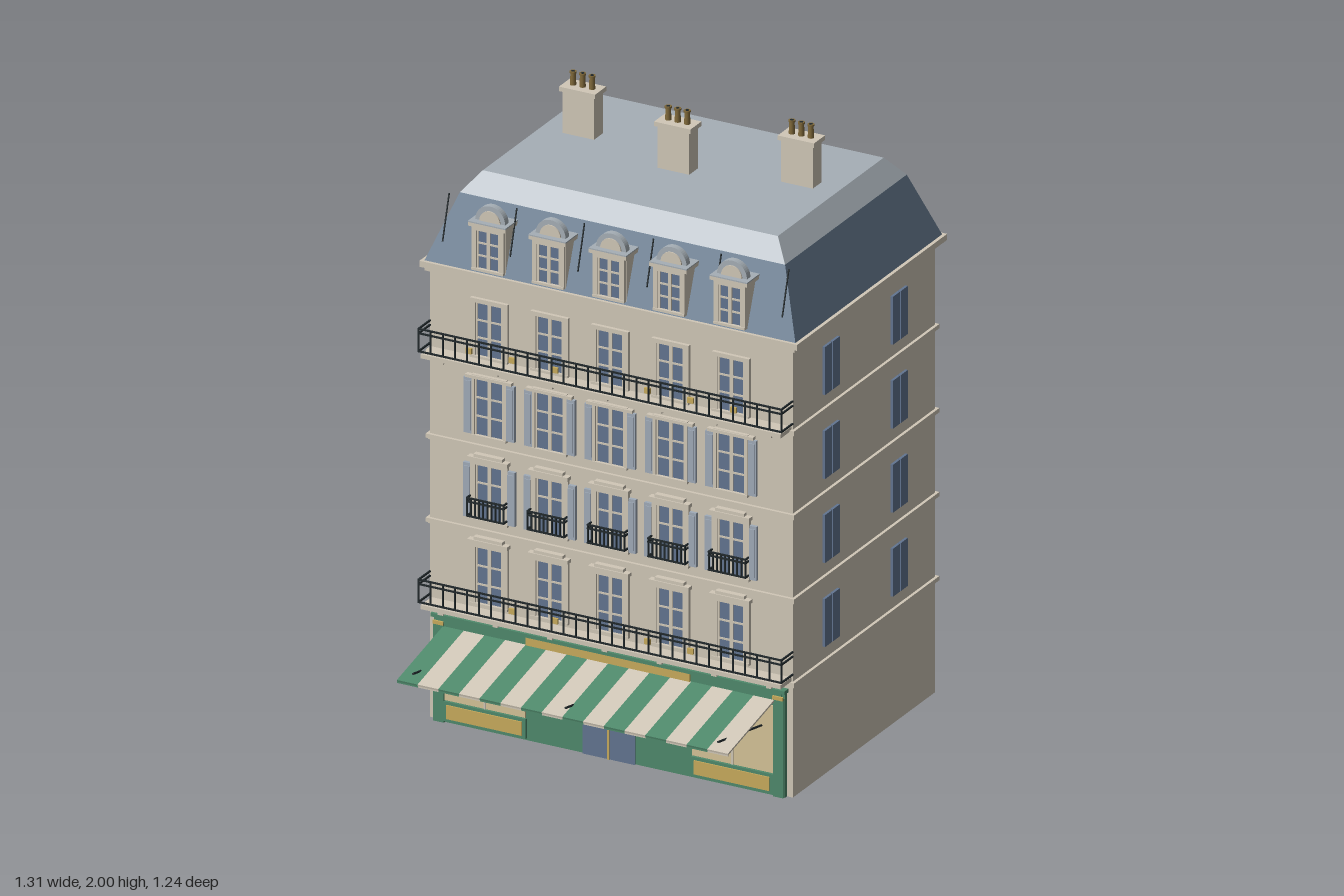
import * as THREE from 'three';

const mat = (name, color) => {
  const m = new THREE.MeshStandardMaterial({ color });
  m.name = name;
  return m;
};
const stone = mat('stone', 0xd1c8b8), slate = mat('slate', 0x687d92), zinc = mat('zinc', 0xa6afb6);
const glass = mat('glass', 0x627591), green = mat('shop green', 0x4f8a6c), shutterGrey = mat('shutter grey', 0xa0abb9);
const gold = mat('gold', 0xc9ac5c), display = mat('shop display', 0xd6c498), iron = mat('iron', 0x20282b);
const clay = mat('chimney pot', 0x80693a);

const FRONT = 0.31, BACK = -0.59, MID = -0.145;
const BAYS = [-0.42, -0.21, 0, 0.21, 0.42];

function add(parent, name, geometry, material, x = 0, y = 0, z = 0) {
  const m = new THREE.Mesh(geometry, material);
  m.name = name;
  m.position.set(x, y, z);
  parent.add(m);
  return m;
}
// Box given by its centre x, bottom y and back z
const box = (parent, name, material, w, h, d, x, y, z) =>
  add(parent, name, new THREE.BoxGeometry(w, h, d), material, x, y + h / 2, z + d / 2);

function group(parent, name, x = 0, y = 0, z = 0) {
  const g = new THREE.Group();
  g.name = name;
  g.position.set(x, y, z);
  parent.add(g);
  return g;
}

function rod(parent, name, a, b, r, material = iron) {
  const from = new THREE.Vector3(...a), to = new THREE.Vector3(...b);
  const m = add(parent, name, new THREE.CylinderGeometry(r, r, from.distanceTo(to), 6), material);
  m.position.copy(from).lerp(to, 0.5);
  m.quaternion.setFromUnitVectors(new THREE.Vector3(0, 1, 0), to.sub(from).normalize());
}

// Box tapering from one rectangle to another
function frustum(parent, name, material, w0, d0, w1, d1, y0, y1) {
  const g = new THREE.BoxGeometry(1, y1 - y0, 1), p = g.attributes.position;
  for (let i = 0; i < p.count; i++) {
    const top = p.getY(i) > 0;
    p.setX(i, p.getX(i) * (top ? w1 : w0));
    p.setZ(i, p.getZ(i) * (top ? d1 : d0));
  }
  g.computeVertexNormals();
  add(parent, name, g, material, 0, (y0 + y1) / 2, MID);
}

// Glazed casement with surround, two leaves and three rows of panes
function casement(parent, w, h, x, y, z, border = 0.018) {
  const g = group(parent, 'window', x, y, z);
  box(g, 'glass', glass, w, h, 0.004, 0, 0, 0);
  for (const s of [-1, 1]) {
    box(g, 'jamb', stone, border, h, 0.012, s * (w + border) / 2, 0, 0);
    box(g, 'leafStile', stone, 0.006, h, 0.007, s * (w / 2 - 0.003), 0, 0);
  }
  box(g, 'centreStile', stone, 0.012, h, 0.008, 0, 0, 0);
  for (const t of [1, 2]) box(g, 'glazingBar', stone, w, 0.006, 0.007, 0, h * t / 3 - 0.003, 0);
  box(g, 'head', stone, w + 2 * border, 0.014, 0.012, 0, h, 0);
  box(g, 'sill', stone, w + 2 * border, 0.008, 0.015, 0, -0.008, 0);
  return g;
}

function shutters(parent, half, h) {
  for (const s of [-1, 1]) {
    box(parent, 'shutter', shutterGrey, 0.03, h, 0.011, s * (half + 0.015), 0, 0);
    box(parent, 'shutterPanel', shutterGrey, 0.02, h - 0.02, 0.014, s * (half + 0.015), 0.01, 0);
  }
}

// Iron railing on three sides
function railing(parent, w, h, d, x, y, z, count) {
  const g = group(parent, 'railing', x, y, z), t = 0.005;
  for (const f of [0, 0.8, 1]) {
    box(g, 'rail', iron, w, t, t, 0, f * (h - t), d - t);
    for (const s of [-1, 1]) box(g, 'sideRail', iron, t, t, d, s * (w - t) / 2, f * (h - t), 0);
  }
  for (let i = 0; i <= count; i++)
    box(g, 'baluster', iron, 0.0045, h, 0.0045, (i / count - 0.5) * (w - t), 0, d - t);
}

function longBalcony(parent, y, ornaments) {
  const g = group(parent, 'longBalcony', 0, y, FRONT);
  box(g, 'slab', stone, 1.25, 0.014, 0.068, 0, 0, 0);
  for (let i = -3; i <= 3; i++) box(g, 'bracket', stone, 0.018, 0.018, 0.045, i * 0.19, -0.018, 0);
  railing(g, 1.265, 0.08, 0.075, 0, 0.022, 0, 30);
  for (const x of ornaments) for (const s of [-1, 1])
    box(g, 'railOrnament', gold, 0.02, 0.018, 0.008, s * x, 0.05, 0.06);
}

function dormer(parent, x) {
  const g = group(parent, 'dormer', x, 1.52, 0.25);
  box(g, 'body', stone, 0.11, 0.16, 0.066, 0, 0, 0);
  casement(g, 0.08, 0.125, 0, 0.02, 0.067, 0.015);
  box(g, 'cornice', stone, 0.13, 0.012, 0.082, 0, 0.158, 0.003);
  box(g, 'leadTop', zinc, 0.13, 0.004, 0.082, 0, 0.17, 0.003);
  const half = (r, d, name, material, z) => {
    const shape = new THREE.Shape().absarc(0, 0, r, 0, Math.PI);
    add(g, name, new THREE.ExtrudeGeometry(shape, { depth: d, bevelEnabled: false, curveSegments: 12 }), material, 0, 0.174, z);
  };
  half(0.052, 0.022, 'archedPediment', zinc, 0.04);
  half(0.036, 0.004, 'archedPanel', stone, 0.062);
}

function shopfront(parent) {
  const g = group(parent, 'shopfront', 0, 0, FRONT);
  box(g, 'panel', green, 1.22, 0.35, 0.012, 0, 0, 0);
  box(g, 'fascia', green, 1.2, 0.035, 0.018, 0, 0.318, 0);
  box(g, 'topMoulding', green, 1.23, 0.012, 0.026, 0, 0.348, 0);
  box(g, 'signBoard', gold, 0.57, 0.026, 0.006, 0, 0.321, 0.018);
  for (const s of [-1, 1]) {
    box(g, 'pilaster', green, 0.036, 0.33, 0.02, s * 0.59, 0, 0);
    box(g, 'pilasterCapital', gold, 0.036, 0.012, 0.006, s * 0.59, 0.325, 0.019);
    box(g, 'displayWindow', display, 0.28, 0.225, 0.005, s * 0.43, 0.075, 0.012);
    box(g, 'displayMullion', stone, 0.006, 0.225, 0.008, s * 0.43, 0.075, 0.012);
    box(g, 'stallRiser', green, 0.285, 0.066, 0.008, s * 0.43, 0.006, 0.012);
    box(g, 'stallPanel', gold, 0.262, 0.046, 0.004, s * 0.43, 0.016, 0.02);
    box(g, 'doorLeaf', glass, 0.088, 0.235, 0.006, s * 0.047, 0, 0.012);
  }
  box(g, 'doorStrip', gold, 0.008, 0.205, 0.01, 0, 0, 0.012);
  box(g, 'doorTransom', gold, 0.18, 0.007, 0.01, 0, 0.205, 0.012);
}

// Sloping striped cloth on folding arms
function awning(parent) {
  const g = group(parent, 'awning'), n = 16, w = 1.15 / n;
  const length = Math.hypot(0.3, 0.067), tilt = Math.atan2(0.067, 0.3);
  for (let i = 0; i < n; i++) {
    const m = add(g, 'awningStripe', new THREE.BoxGeometry(w, 0.006, length), i % 2 ? stone : green,
      (i + 0.5) * w - 0.575, 0.286, 0.47);
    m.rotation.x = tilt;
    box(g, 'awningHem', i % 2 ? stone : green, w, 0.01, 0.004, (i + 0.5) * w - 0.575, 0.245, 0.615);
  }
  for (const x of [-0.53, 0, 0.53]) rod(g, 'awningArm', [x, 0.225, 0.32], [x, 0.277, 0.6], 0.004);
}

function chimney(parent, x, z) {
  const g = group(parent, 'chimney', x, 1.79, z);
  box(g, 'stack', stone, 0.11, 0.16, 0.056, 0, 0, -0.028);
  box(g, 'stackCap', stone, 0.126, 0.015, 0.07, 0, 0.15, -0.035);
  for (const px of [-0.033, 0, 0.033]) {
    add(g, 'pot', new THREE.CylinderGeometry(0.008, 0.01, 0.045, 12), clay, px, 0.1865, 0);
    add(g, 'potRim', new THREE.CylinderGeometry(0.011, 0.011, 0.006, 12), clay, px, 0.207, 0);
    add(g, 'potMouth', new THREE.CylinderGeometry(0.006, 0.006, 0.001, 12), iron, px, 0.2102, 0);
  }
}

export function createModel() {
  const root = new THREE.Group();
  root.name = 'townhouse';

  // Walls and string courses
  box(root, 'walls', stone, 1.26, 1.5, FRONT - BACK, 0, 0, BACK);
  for (const y of [0.372, 0.652, 0.932, 1.212]) {
    box(root, 'stringCourse', stone, 1.28, 0.014, 0.92, 0, y, -0.6);
    box(root, 'lowerMoulding', stone, 1.27, 0.005, 0.91, 0, y - 0.005, -0.595);
  }
  box(root, 'corniceMoulding', stone, 1.285, 0.012, 0.925, 0, 1.49, -0.6025);
  box(root, 'cornice', stone, 1.312, 0.02, 0.95, 0, 1.502, -0.62);

  // Front windows, floor by floor
  for (const x of BAYS) {
    const a = casement(root, 0.094, 0.185, x, 0.42, FRONT);
    box(a, 'lintel', stone, 0.14, 0.012, 0.022, 0, 0.2, 0);
    box(a, 'lintelCrown', stone, 0.1, 0.01, 0.018, 0, 0.212, 0);
    const b = casement(root, 0.094, 0.18, x, 0.7, FRONT);
    shutters(b, 0.06, 0.18);
    box(b, 'lintel', stone, 0.14, 0.012, 0.022, 0, 0.196, 0);
    box(b, 'lintelCrown', stone, 0.1, 0.01, 0.018, 0, 0.208, 0);
    railing(root, 0.132, 0.065, 0.036, x, 0.712, FRONT, 9);
    const c = casement(root, 0.1, 0.185, x, 0.98, FRONT, 0.01);
    shutters(c, 0.058, 0.185);
    box(c, 'lintel', stone, 0.16, 0.01, 0.016, 0, 0.187, 0);
    casement(root, 0.094, 0.175, x, 1.245, FRONT);
    dormer(root, x);
  }
  longBalcony(root, 0.386, [0.16, 0.31]);
  longBalcony(root, 1.222, [0.16, 0.31, 0.46]);

  // Side windows
  for (const s of [-1, 1]) for (const y of [0.43, 0.71, 0.99, 1.27]) for (const z of [0.075, -0.355])
    for (const o of [-0.0245, 0.0245])
      box(root, 'sideWindow', glass, 0.009, 0.16, 0.044, s * 0.6345, y, z + o - 0.022);

  // Mansard roof
  frustum(root, 'lowerRoof', slate, 1.29, 0.93, 1.13, 0.77, 1.52, 1.735);
  frustum(root, 'upperRoof', zinc, 1.13, 0.77, 1.025, 0.67, 1.735, 1.8);
  for (const x of [-0.59, -0.355, -0.12, 0.12, 0.355, 0.59])
    rod(root, 'roofPole', [x, 1.59, 0.304], [x, 1.735, 0.262], 0.0025);
  chimney(root, -0.38, -0.2);
  chimney(root, 0, -0.11);
  chimney(root, 0.38, -0.2);

  shopfront(root);
  awning(root);
  return root;
}
